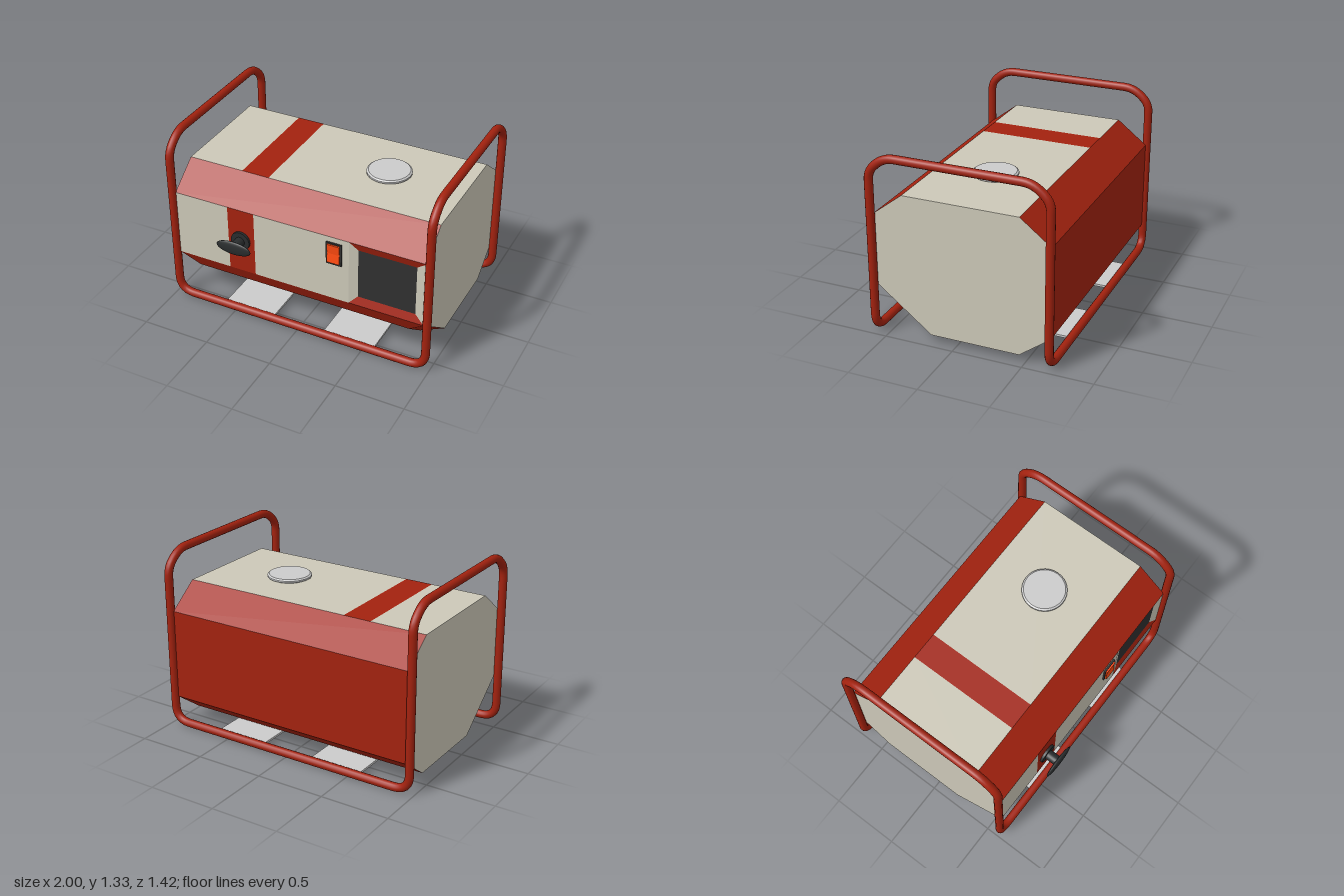
import * as THREE from 'three';

const RED = 0xa3220f, BEIGE = 0xccc8b8, BLACK = 0x303030, DARK = 0x2a2d2e, ORANGE = 0xff4a10, GREY = 0xcccccc;

export function createModel() {
  const model = new THREE.Group();
  model.name = 'portableGenerator';
  const mats = {};
  const mat = (c) => (mats[c] ??= new THREE.MeshStandardMaterial({ color: c }));

  function add(name, geometry, color, x = 0, y = 0, z = 0, parent = model) {
    const mesh = new THREE.Mesh(geometry, mat(color));
    mesh.name = name;
    mesh.position.set(x, y, z);
    parent.add(mesh);
    return mesh;
  }

  // ---- Housing, assembled from flat sheet panels ----
  const housing = new THREE.Group();
  housing.name = 'housing';
  model.add(housing);

  // Convex flat panel, corners counter-clockwise seen from outside
  function sheet(name, color, pts) {
    const pos = [];
    for (let i = 1; i < pts.length - 1; i++) pos.push(...pts[0], ...pts[i], ...pts[i + 1]);
    const g = new THREE.BufferGeometry();
    g.setAttribute('position', new THREE.Float32BufferAttribute(pos, 3));
    g.computeVertexNormals();
    add(name, g, color, 0, 0, 0, housing);
  }
  // Corners of a strip running along x between two profile points [z, y]
  const strip = (x0, x1, [pz, py], [qz, qy]) =>
    [[x0, py, pz], [x1, py, pz], [x1, qy, qz], [x0, qy, qz]];
  // Bevelled frame around an inner panel
  function framed(name, outer, inner, sideColors, innerColor) {
    sideColors.forEach((c, i) => {
      const j = (i + 1) % 4;
      sheet(name + 'Bevel', c, [outer[i], outer[j], inner[j], inner[i]]);
    });
    sheet(name, innerColor, inner);
  }

  const W = 0.945;
  // Octagonal profile, from the lower front corner over the top to the underside
  const P = [[0.59, 0.38], [0.59, 0.88], [0.37, 1.05], [-0.46, 1.05],
    [-0.68, 0.88], [-0.68, 0.225], [-0.46, 0.06], [0.18, 0.06]];

  // Front and top: beige with a red stripe
  const S0 = -0.53, S1 = -0.325, PX = 0.395;
  for (const [name, p, q, end] of [['front', P[0], P[1], PX], ['top', P[2], P[3], W]]) {
    sheet(name + 'LeftSheet', BEIGE, strip(-W, S0, p, q));
    sheet(name + 'Stripe', RED, strip(S0, S1, p, q));
    sheet(name + 'MainSheet', BEIGE, strip(S1, end, p, q));
  }
  // Red chamfers and back, beige underside
  sheet('upperFrontChamfer', RED, strip(-W, W, P[1], P[2]));
  sheet('upperBackChamfer', RED, strip(-W, W, P[3], P[4]));
  sheet('backSheet', RED, strip(-W, W, P[4], P[5]));
  sheet('lowerBackChamfer', RED, strip(-W, W, P[5], P[6]));
  sheet('underside', BEIGE, strip(-W, W, P[6], P[7]));
  // Raised lower front panel
  framed('lowerFrontPanel', strip(-W, W, P[7], P[0]),
    strip(-0.82, 0.82, [0.33, 0.105], [0.53, 0.265]), [BEIGE, RED, RED, RED], RED);
  // Shallow control panel
  framed('controlPanel', strip(PX, W, P[0], P[1]),
    strip(0.455, 0.875, [0.57, 0.44], [0.57, 0.82]), [RED, BEIGE, RED, BEIGE], BLACK);
  // End plates
  sheet('rightEndPlate', BEIGE, P.map(([z, y]) => [-W, y, z]));
  sheet('leftEndPlate', BEIGE, P.map(([z, y]) => [W, y, z]).reverse());

  // ---- Tubular frame: one closed loop with rounded corners ----
  const fx = 0.97, zf = 0.59, zb = -0.68, yb = 0.035, yt = 1.305;
  const corners = []; // [point, rounding length]
  const v = (x, y, z) => new THREE.Vector3(x, y, z);
  corners.push([v(-fx, yb, zf), 0.12], [v(fx, yb, zf), 0.12]);
  corners.push([v(fx, 1.2, zf), 0.065], [v(fx, yt, zf - 0.12), 0.075]);
  corners.push([v(fx, yt, zb + 0.12), 0.075], [v(fx, 1.2, zb), 0.065]);
  corners.push([v(fx, yb, zb), 0.12], [v(-fx, yb, zb), 0.12]);
  corners.push([v(-fx, 1.2, zb), 0.065], [v(-fx, yt, zb + 0.12), 0.075]);
  corners.push([v(-fx, yt, zf - 0.12), 0.075], [v(-fx, 1.2, zf), 0.065]);

  const toward = (a, b, d) => a.clone().add(b.clone().sub(a).setLength(d));
  const path = new THREE.CurvePath();
  const n = corners.length;
  corners.forEach(([p, r], i) => {
    const prev = corners[(i + n - 1) % n][0];
    const [next, rNext] = corners[(i + 1) % n];
    const out = toward(p, next, r);
    path.add(new THREE.QuadraticBezierCurve3(toward(p, prev, r), p, out));
    path.add(new THREE.LineCurve3(out, toward(next, p, rNext)));
  });
  add('tubeFrame', new THREE.TubeGeometry(path, 420, 0.03, 14, true), RED);

  // Two flat slats joining the frame's bottom rails
  for (const s of [-1, 1]) {
    add(s > 0 ? 'leftSlat' : 'rightSlat', new THREE.BoxGeometry(0.39, 0.016, zf - zb), GREY,
      s * 0.39, 0.043, (zf + zb) / 2);
  }

  // ---- Fuel cap ----
  const capProfile = [[0.128, 0], [0.128, 0.012], [0.158, 0.014], [0.158, 0.026], [0.146, 0.035], [0, 0.035]];
  const cap = add('fuelCap', new THREE.LatheGeometry(
    capProfile.map(([r, y]) => new THREE.Vector2(r, y)), 32).toNonIndexed(), GREY, 0.39, 1.05, -0.05);
  cap.geometry.computeVertexNormals();

  // ---- Pull starter ----
  const starter = new THREE.Group();
  starter.name = 'pullStarter';
  starter.position.set(-0.43, 0.635, 0.59);
  model.add(starter);
  const disc = (r, len) => new THREE.CylinderGeometry(r, r, len, 24).rotateX(Math.PI / 2);
  add('starterBase', disc(0.072, 0.024), DARK, 0, 0, 0.006, starter);
  add('starterStem', disc(0.036, 0.1), DARK, 0, 0, 0.05, starter);
  add('starterGrip', new THREE.SphereGeometry(1, 28, 14).scale(0.134, 0.052, 0.017), DARK, 0, 0, 0.105, starter);

  // ---- Power switch: backing plate and two-sided rocker ----
  add('switchPlate', new THREE.BoxGeometry(0.115, 0.17, 0.02), BLACK, 0.288, 0.755, 0.592);
  const rocker = new THREE.Shape();
  [[0, -0.07], [0.018, -0.07], [0.01, 0], [0.016, 0.07], [0, 0.07]].forEach(([z, y], i) =>
    i ? rocker.lineTo(z, y) : rocker.moveTo(z, y));
  const rockerGeo = new THREE.ExtrudeGeometry(rocker, { depth: 0.092, bevelEnabled: false })
    .translate(0, 0, -0.046).rotateY(-Math.PI / 2);
  add('switchRocker', rockerGeo, ORANGE, 0.288, 0.76, 0.598);

  return model;
}
